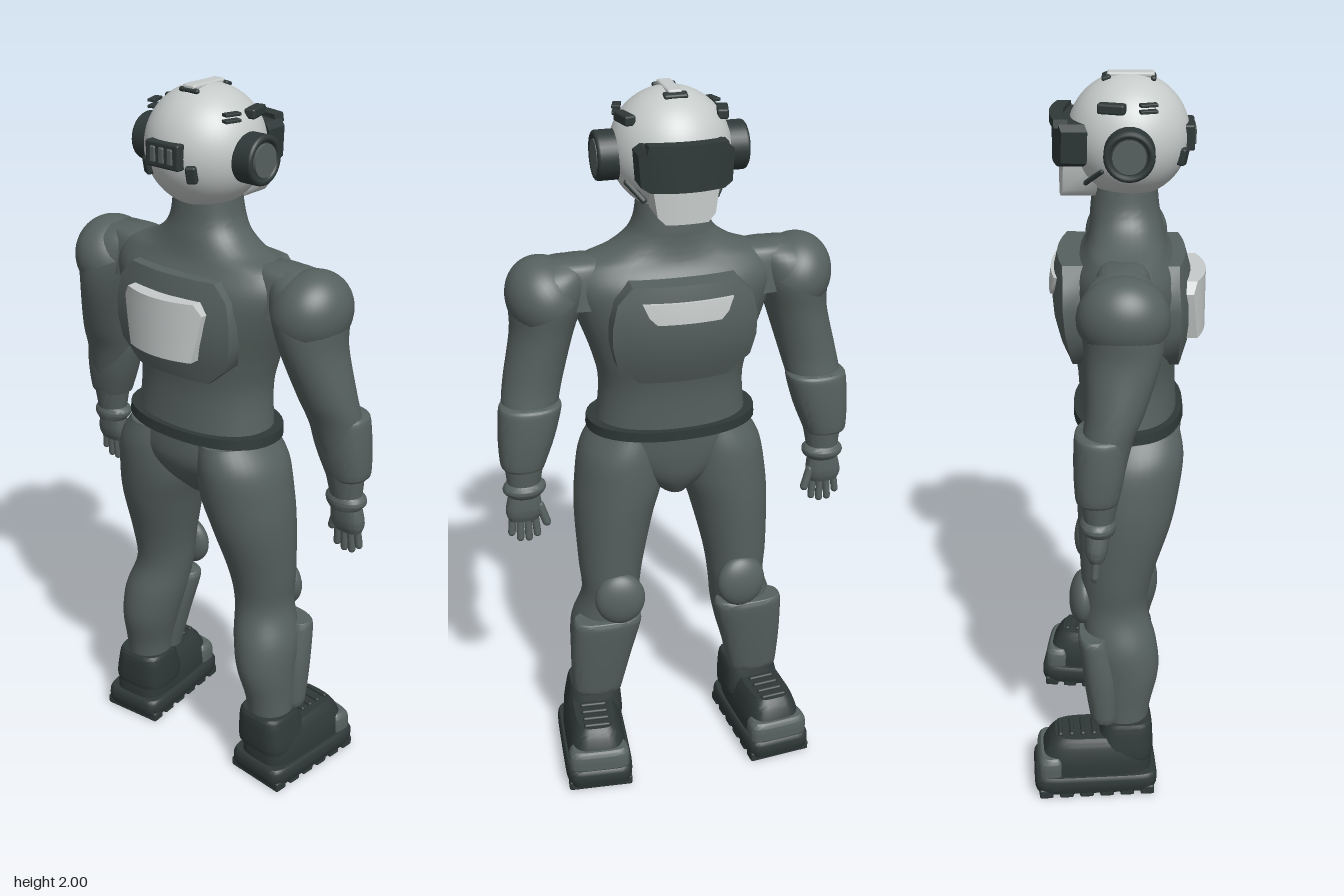
import * as THREE from 'three';
import { toCreasedNormals } from 'three/addons/utils/BufferGeometryUtils.js';
import { RoundedBoxGeometry } from 'three/addons/geometries/RoundedBoxGeometry.js';

const mat = (name, color) => {
  const m = new THREE.MeshStandardMaterial({ color, side: THREE.DoubleSide });
  m.name = name;
  return m;
};
const suit = mat('suit grey', 0x56615f);
const dark = mat('dark rubber', 0x2f3838);
const light = mat('light shell', 0xc6cbca);

function add(parent, name, geometry, material, pos = [0, 0, 0], rot = [0, 0, 0]) {
  const mesh = new THREE.Mesh(geometry, material);
  mesh.name = name;
  mesh.position.set(...pos);
  mesh.rotation.set(...rot);
  parent.add(mesh);
  return mesh;
}
const box = (w, h, d, r = 0.006) => new RoundedBoxGeometry(w, h, d, 2, Math.min(r, w / 2.1, h / 2.1, d / 2.1));

// Joins closed loops of points, bottom to top, and caps both ends
function skin(rows) {
  const n = rows[0].length, pos = [], index = [];
  rows.forEach(row => row.forEach(p => pos.push(...p)));
  for (let i = 0; i < rows.length - 1; i++) {
    for (let j = 0; j < n; j++) {
      const a = i * n + j, b = i * n + (j + 1) % n;
      index.push(a, a + n, b, b, a + n, b + n);
    }
  }
  [0, rows.length - 1].forEach(r => {
    const c = pos.length / 3;
    pos.push(...[0, 1, 2].map(k => rows[r].reduce((s, p) => s + p[k], 0) / n));
    for (let j = 0; j < n; j++) {
      const a = r * n + j, b = r * n + (j + 1) % n;
      index.push(c, ...(r ? [b, a] : [a, b]));
    }
  });
  const g = new THREE.BufferGeometry();
  g.setAttribute('position', new THREE.Float32BufferAttribute(pos, 3));
  g.setIndex(index);
  return toCreasedNormals(g, 0.7);
}

// Smooth body from rings [y, centre x, half width, z min, z max]; power squares the ring
function loft(rings, power = 2, steps = 5, seg = 36) {
  const rows = [];
  const at = i => rings[Math.max(0, Math.min(rings.length - 1, i))];
  const bend = v => Math.sign(v) * Math.abs(v) ** (2 / power);
  for (let i = 0; i < rings.length - 1; i++) {
    for (let k = 0; k < steps + (i === rings.length - 2 ? 1 : 0); k++) {
      const t = k / steps;
      const [y, cx, rx, z0, z1] = at(i).map((p1, c) => {
        const p0 = at(i - 1)[c], p2 = at(i + 1)[c], p3 = at(i + 2)[c];
        return p1 + 0.5 * t * (p2 - p0 + t * (2 * p0 - 5 * p1 + 4 * p2 - p3 + t * (3 * (p1 - p2) + p3 - p0)));
      });
      rows.push(Array.from({ length: seg }, (_, j) => {
        const a = j / seg * Math.PI * 2;
        return [cx + rx * bend(Math.cos(a)), y, (z0 + z1) / 2 + (z1 - z0) / 2 * bend(Math.sin(a))];
      }));
    }
  }
  return skin(rows);
}

// Curved plate from a profile of [y, half width], following zMax(x, y)
function plate(profile, zMax, thick) {
  const n = 14;
  return skin(profile.map(([y, w]) => {
    const xs = Array.from({ length: n + 1 }, (_, i) => w * (1 - 2 * i / n));
    return [...xs.map(x => [x, y, zMax(x, y)]), ...xs.reverse().map(x => [x, y, zMax(x, y) - thick])];
  }));
}

function buildTorso(g) {
  add(g, 'torso', loft([
    [1.07, 0, 0.212, -0.1, 0.165], [1.2, 0, 0.2, -0.105, 0.158], [1.3, 0, 0.22, -0.12, 0.168],
    [1.42, 0, 0.262, -0.125, 0.178], [1.5, 0, 0.285, -0.115, 0.165], [1.555, 0, 0.26, -0.085, 0.135],
    [1.585, 0, 0.18, -0.075, 0.125], [1.62, 0, 0.125, -0.07, 0.118], [1.66, 0, 0.1, -0.068, 0.11],
    [1.72, 0, 0.09, -0.06, 0.105]], 2.2), suit);
  add(g, 'pelvis', loft([
    [0.87, 0, 0.04, -0.05, 0.08], [0.93, 0, 0.13, -0.085, 0.14],
    [1.0, 0, 0.215, -0.098, 0.175], [1.08, 0, 0.216, -0.103, 0.175]]), suit);
  add(g, 'belt', loft([[1.072, 0, 0.238, -0.118, 0.183], [1.1, 0, 0.236, -0.118, 0.18]], 2.2, 1), dark);
  const outline = [[1.255, 0.12], [1.31, 0.18], [1.37, 0.193], [1.43, 0.193], [1.49, 0.18], [1.535, 0.14]];
  add(g, 'backPanel', plate(outline, (x, y) => 0.203 - 0.9 * x * x - 1.2 * (y - 1.4) ** 2, 0.06), suit);
  add(g, 'backPack', plate([[1.325, 0.105], [1.4, 0.122], [1.455, 0.132], [1.485, 0.112]],
    x => 0.236 - 2 * x * x, 0.04), light);
  const chest = (x, y) => -0.172 + 1.0 * x * x + 1.4 * (y - 1.43) ** 2;
  add(g, 'chestPanel', plate(outline, (x, y) => chest(x, y) + 0.06, 0.06), suit);
  add(g, 'chestStripe', plate([[1.44, 0.085], [1.46, 0.105], [1.495, 0.12]], (x, y) => chest(x, y) + 0.003, 0.011), light);
}

function buildHead(g) {
  const head = new THREE.Group();
  head.name = 'head';
  head.position.set(0, 1.84, 0.03);
  g.add(head);
  add(head, 'helmet', new THREE.SphereGeometry(0.157, 48, 32), light);
  add(head, 'visor', plate([[-0.058, 0.095], [-0.045, 0.117], [0.035, 0.122], [0.05, 0.105]], x => -0.13 + 2 * x * x, 0.065), dark);
  add(head, 'visorBrow', plate([[0.04, 0.105], [0.062, 0.1]], x => -0.165 + 1.5 * x * x, 0.036), dark);
  add(head, 'chinGuard', plate([[-0.145, 0.055], [-0.125, 0.075], [-0.055, 0.085]], x => -0.09 + 2 * x * x, 0.088), light);
  // Crest strip and its end clips
  add(head, 'crest', box(0.038, 0.014, 0.12), light, [0, 0.153, 0.005]);
  add(head, 'crestFrontClip', box(0.062, 0.012, 0.024), dark, [0, 0.147, -0.056], [-0.35, 0, 0]);
  add(head, 'crestBackClip', box(0.062, 0.012, 0.014), dark, [0, 0.146, 0.062], [0.38, 0, 0]);
  // Rear connector
  add(head, 'rearConnector', box(0.108, 0.066, 0.04), dark, [0, 0.004, 0.148]);
  for (let i = -1; i <= 1; i++) add(head, 'connectorRib', box(0.018, 0.042, 0.01), suit, [i * 0.028, 0.004, 0.167]);
  for (const s of [-1, 1]) {
    add(head, 'rearBracket', box(0.028, 0.045, 0.03), dark, [s * 0.07, -0.037, 0.133], [0.2, s * 0.45, 0]);
    const side = [0, 0, Math.PI / 2];
    add(head, 'earCup', new THREE.CylinderGeometry(0.064, 0.064, 0.05, 32), dark, [s * 0.165, -0.008, 0.004], side);
    add(head, 'earRing', new THREE.TorusGeometry(0.055, 0.009, 10, 32), dark, [s * 0.19, -0.008, 0.004], [0, Math.PI / 2, 0]);
    add(head, 'earDisc', new THREE.CylinderGeometry(0.042, 0.042, 0.014, 32), suit, [s * 0.191, -0.008, 0.004], side);
    add(head, 'sideVent', box(0.03, 0.026, 0.07), dark, [s * 0.126, 0.095, -0.04], [0, s * 0.25, 0]);
    for (const y of [0.088, 0.104]) add(head, 'sideSlot', box(0.022, 0.008, 0.045, 0.002), dark, [s * 0.126, y, 0.05], [0, s * -0.3, 0]);
    add(head, 'cheekStrut', box(0.016, 0.012, 0.078), dark, [s * 0.112, -0.08, -0.085], [-0.75, s * 0.55, 0]);
  }
}

function buildArm(g, s) {
  const rings = list => list.map(([y, cx, ...rest]) => [y, s * cx, ...rest]);
  add(g, 'arm', loft(rings([
    [0.95, 0.43, 0.044, -0.076, 0], [1.05, 0.423, 0.058, -0.085, 0.02], [1.17, 0.402, 0.075, -0.08, 0.048],
    [1.25, 0.385, 0.08, -0.072, 0.08], [1.38, 0.352, 0.085, -0.075, 0.12], [1.47, 0.335, 0.1, -0.085, 0.125],
    [1.54, 0.312, 0.09, -0.065, 0.1], [1.572, 0.29, 0.05, -0.02, 0.06]])), suit);
  const cap = add(g, 'shoulderPad', new THREE.SphereGeometry(1, 36, 20, 0, Math.PI * 2, 0, 1.72), suit,
    [s * 0.341, 1.469, 0.022], [0, 0, s * -0.42]);
  cap.scale.set(0.1, 0.114, 0.117);
  add(g, 'shoulderBridge', loft(rings([[1.45, 0.24, 0.1, -0.06, 0.1], [1.55, 0.25, 0.1, -0.045, 0.085], [1.573, 0.25, 0.07, -0.02, 0.06]])), suit);
  add(g, 'forearmGuard', loft(rings([[1.015, 0.429, 0.056, -0.094, 0.01], [1.03, 0.429, 0.062, -0.098, 0.016],
    [1.1, 0.416, 0.076, -0.102, 0.03], [1.18, 0.402, 0.084, -0.1, 0.036], [1.195, 0.4, 0.078, -0.093, 0.03]]), 2.3), suit);
  add(g, 'wristCuff', loft(rings([[0.925, 0.43, 0.046, -0.076, 0.002], [0.94, 0.43, 0.058, -0.086, 0.006],
    [0.955, 0.428, 0.057, -0.085, 0.005], [0.965, 0.428, 0.045, -0.076, 0]])), suit);
  add(g, 'palm', loft(rings([[0.85, 0.436, 0.04, -0.065, -0.025], [0.88, 0.434, 0.05, -0.074, -0.014], [0.94, 0.43, 0.04, -0.072, -0.008]]), 2.4), suit);
  // Fingers, then thumb
  for (let i = 0; i < 4; i++) {
    const len = [0.062, 0.072, 0.07, 0.05][i];
    add(g, 'finger', new THREE.CapsuleGeometry(0.0105, len, 4, 10), suit,
      [s * (0.403 + i * 0.022), 0.862 - len / 2, -0.046], [0.08, 0, s * (i - 1.2) * 0.06]);
  }
  add(g, 'thumb', new THREE.CapsuleGeometry(0.012, 0.055, 4, 10), suit, [s * 0.383, 0.864, -0.055], [0.1, 0, s * -0.3]);
}

function buildLeg(g, s) {
  const rings = list => list.map(([y, cx, ...rest]) => [y, s * cx, ...rest]);
  add(g, 'leg', loft(rings([
    [0.18, 0.24, 0.064, -0.04, 0.09], [0.26, 0.236, 0.068, -0.05, 0.1], [0.36, 0.224, 0.082, -0.07, 0.122],
    [0.45, 0.212, 0.09, -0.085, 0.115], [0.55, 0.19, 0.082, -0.092, 0.088], [0.65, 0.185, 0.092, -0.096, 0.102],
    [0.8, 0.169, 0.112, -0.103, 0.15], [0.9, 0.151, 0.124, -0.105, 0.172], [1.0, 0.14, 0.116, -0.1, 0.183], [1.07, 0.12, 0.09, -0.08, 0.172]])), suit);
  const pad = add(g, 'kneePad', new THREE.SphereGeometry(1, 28, 20), suit, [s * 0.18, 0.57, -0.092], [0.08, s * -0.08, 0]);
  pad.scale.set(0.072, 0.079, 0.038);
  add(g, 'shinGuard', loft(rings([[0.22, 0.24, 0.07, -0.068, 0.01], [0.24, 0.24, 0.074, -0.074, 0.012],
    [0.36, 0.228, 0.09, -0.092, 0.012], [0.47, 0.213, 0.1, -0.105, -0.01], [0.492, 0.212, 0.094, -0.1, -0.015]]), 2.5), suit);
}

function buildBoot(g, s) {
  const boot = new THREE.Group();
  boot.name = 'boot';
  boot.position.set(s * 0.262, 0, -0.058);
  boot.rotation.y = s * -0.09;
  g.add(boot);
  add(boot, 'sole', loft([[0.014, 0, 0.092, -0.172, 0.168], [0.03, 0, 0.098, -0.177, 0.174],
    [0.058, 0, 0.098, -0.177, 0.174], [0.07, 0, 0.092, -0.17, 0.168]], 7, 2, 48), dark);
  for (let i = 0; i < 6; i++) add(boot, 'tread', box(0.186, 0.03, 0.04), dark, [0, 0.015, -0.145 + i * 0.058]);
  add(boot, 'upper', loft([[0.06, 0, 0.086, -0.16, 0.16], [0.11, 0, 0.084, -0.155, 0.158],
    [0.155, 0, 0.072, -0.135, 0.15], [0.18, 0, 0.058, -0.115, 0.13]], 4), dark);
  add(boot, 'ankleCollar', loft([[0.105, -s * 0.008, 0.084, 0.01, 0.162], [0.13, -s * 0.008, 0.086, 0.0, 0.165],
    [0.2, -s * 0.012, 0.077, 0.018, 0.163], [0.22, -s * 0.012, 0.07, 0.026, 0.155]], 3.5), dark);
  add(boot, 'toeCap', loft([[0.068, 0, 0.088, -0.168, -0.09], [0.11, 0, 0.087, -0.166, -0.09], [0.127, 0, 0.076, -0.156, -0.095]], 4), suit);
  for (let i = 0; i < 4; i++) add(boot, 'lace', box(0.078, 0.014, 0.014), dark, [0, 0.182, -0.1 + i * 0.032]);
}

export function createModel() {
  const model = new THREE.Group();
  model.name = 'armouredFigure';
  buildTorso(model);
  buildHead(model);
  for (const s of [-1, 1]) {
    for (const [name, build] of [['armAssembly', buildArm], ['legAssembly', buildLeg], ['bootAssembly', buildBoot]]) {
      const part = new THREE.Group();
      part.name = (s > 0 ? 'left ' : 'right ') + name;
      model.add(part);
      build(part, s);
    }
  }
  return model;
}
